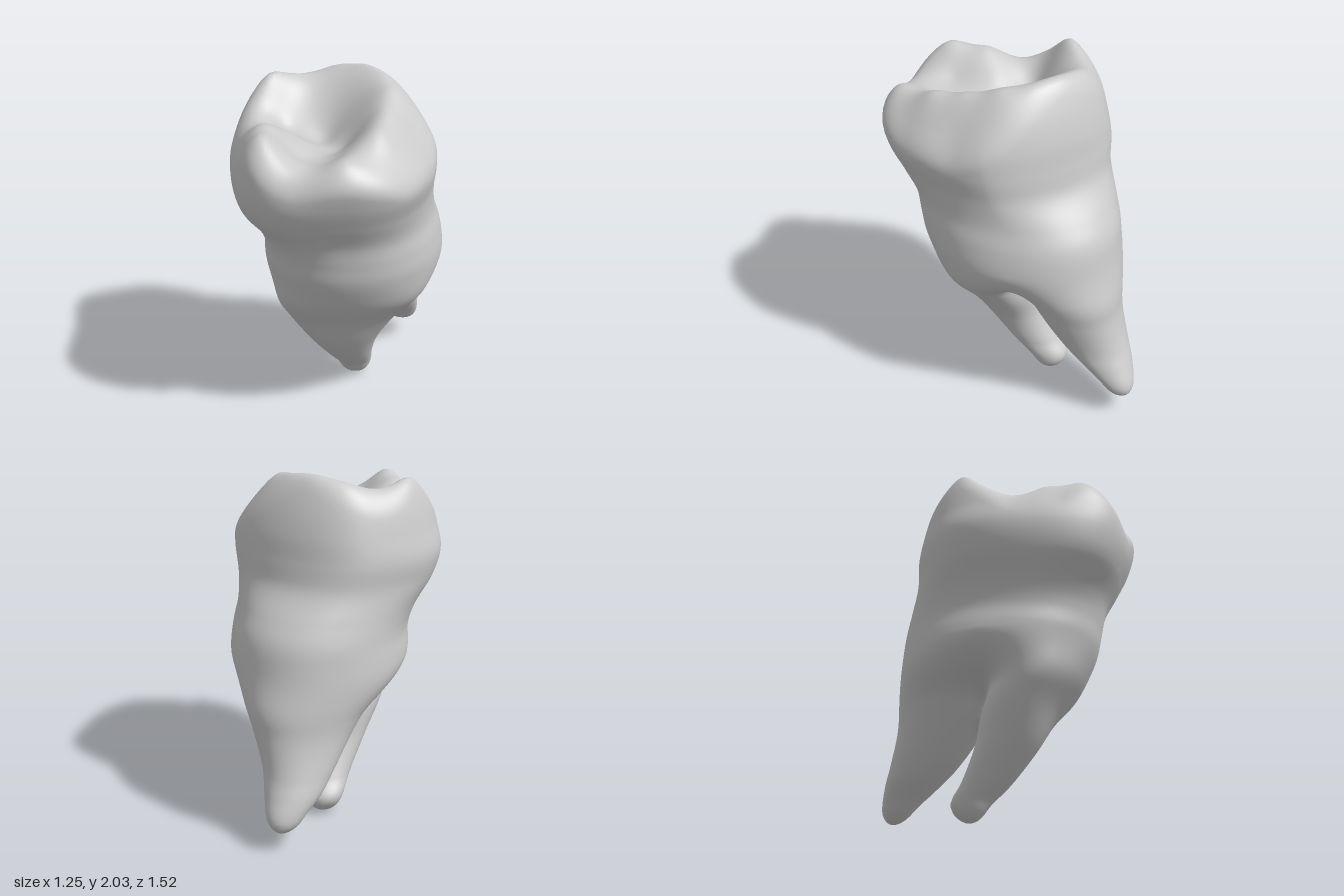
import * as THREE from 'three';

// Cross-section rows, bottom to top: y, xMin, xMax, zMin, zMax, shear of x along z
const BODY = [
  [0.62, -0.34, 0.59, -0.66, 0.32, -0.12],
  [0.85, -0.41, 0.62, -0.65, 0.46, -0.12],
  [1.00, -0.435, 0.62, -0.635, 0.525, -0.12],
  [1.12, -0.44, 0.60, -0.62, 0.55, -0.12],
  [1.25, -0.49, 0.56, -0.585, 0.58, -0.1],
  [1.40, -0.585, 0.54, -0.545, 0.66, -0.05],
  [1.55, -0.625, 0.545, -0.54, 0.73, 0],
  [1.70, -0.605, 0.535, -0.515, 0.765, 0],
  [1.85, -0.57, 0.49, -0.475, 0.74, 0],
  [2.05, -0.49, 0.39, -0.39, 0.66, 0],
];
const FRONT_ROOT = [
  [-0.01, 0.05, 0.19, -0.29, -0.17, 0],
  [0.10, 0.00, 0.215, -0.335, -0.105, 0],
  [0.20, -0.06, 0.21, -0.28, 0.00, 0],
  [0.40, -0.19, 0.24, -0.20, 0.16, 0],
  [0.60, -0.31, 0.35, -0.16, 0.28, 0],
  [0.80, -0.40, 0.48, -0.09, 0.43, 0],
  [1.05, -0.44, 0.56, -0.06, 0.535, 0],
];
const BACK_ROOT = [
  [0.10, 0.41, 0.54, -0.76, -0.64, 0],
  [0.20, 0.33, 0.555, -0.76, -0.56, 0],
  [0.30, 0.22, 0.545, -0.74, -0.44, 0],
  [0.40, 0.14, 0.535, -0.71, -0.33, 0],
  [0.60, 0.00, 0.565, -0.665, -0.18, 0],
  [0.80, -0.14, 0.61, -0.655, -0.07, 0],
  [1.05, -0.28, 0.61, -0.625, 0.02, 0],
];

// Chewing surface: x, z, height of cusps, rim, grooves and basin
const CUSPS = [
  [-0.46, 0.45, 1.88], [-0.45, 0.22, 1.86], [-0.48, -0.06, 1.81], [-0.4, -0.28, 2.01],
  [-0.18, -0.39, 1.94], [0.02, -0.4, 1.99], [0.23, -0.32, 2.03], [0.29, -0.15, 2.01],
  [0.29, 0.05, 1.98], [0.23, 0.25, 1.92], [0.17, 0.44, 1.88], [-0.03, 0.67, 1.80],
  [-0.27, 0.62, 1.73], [-0.3, -0.07, 1.73], [-0.08, 0, 1.68], [0, 0.24, 1.71],
  [-0.26, 0.4, 1.74], [-0.26, 0.14, 1.76], [-0.08, 0.48, 1.74],
  // outer shoulders
  [-0.62, 0.3, 1.72], [-0.62, 0, 1.7], [-0.54, -0.4, 1.82], [-0.2, -0.57, 1.82],
  [0.15, -0.55, 1.87], [0.41, -0.38, 1.87], [0.53, -0.05, 1.78], [0.5, 0.3, 1.65],
  [0.35, 0.62, 1.62], [0, 0.85, 1.65], [-0.35, 0.78, 1.62], [-0.6, 0.62, 1.74],
];

const clamp = THREE.MathUtils.clamp;
const smoothstep = THREE.MathUtils.smoothstep;
const smin = (a, b, k) => Math.min(a, b) - Math.max(k - Math.abs(a - b), 0) ** 2 / (4 * k);
const smax = (a, b, k) => -smin(-a, -b, k);

// Signed field of a stack of rounded sections, negative inside
function stack(rows) {
  const spline = new THREE.CubicInterpolant(
    rows.map((r) => r[0]), rows.flatMap((r) => r.slice(1)), 5, new Float64Array(5));
  const bottom = rows[0][0];
  const top = rows[rows.length - 1][0];
  return (x, y, z, squareness) => {
    const [x0, x1, z0, z1, shear] = spline.evaluate(clamp(y, bottom, top));
    const rz = (z1 - z0) / 2;
    const dz = z - (z0 + z1) / 2;
    const rx = Math.sqrt(((x1 - x0) / 2) ** 2 - (shear * rz) ** 2);
    const u = (x - (x0 + x1) / 2 - shear * dz) / rx;
    const v = dz / rz;
    // the crown is squarer at its front right corner
    const n = 2.2 + squareness * (0.3 * clamp(v, -1, 1) - 0.5 * clamp(u, -1, 1));
    const q = (Math.abs(u) ** n + Math.abs(v) ** n) ** (1 / n);
    return smax((q - 1) * Math.min(rx, rz), bottom - y, 0.09);
  };
}

// Smooth sheet through scattered heights (radial basis, Gauss-Jordan elimination)
function sheet(points, base) {
  const kernel = (x, z, p) => Math.sqrt((x - p[0]) ** 2 + (z - p[1]) ** 2 + 0.004);
  const m = points.map((p) => [...points.map((q) => kernel(p[0], p[1], q)), p[2] - base]);
  for (let c = 0; c < m.length; c++) {
    let pivot = c;
    for (let r = c; r < m.length; r++) if (Math.abs(m[r][c]) > Math.abs(m[pivot][c])) pivot = r;
    [m[c], m[pivot]] = [m[pivot], m[c]];
    m[c] = m[c].map((value) => value / m[c][c]);
    for (let r = 0; r < m.length; r++)
      if (r !== c) m[r] = m[r].map((value, i) => value - m[r][c] * m[c][i]);
  }
  const weights = m.map((row) => row[points.length]);
  return (x, z) => points.reduce((sum, p, i) => sum + weights[i] * kernel(x, z, p), base);
}

const body = stack(BODY);
const frontRoot = stack(FRONT_ROOT);
const backRoot = stack(BACK_ROOT);
const chewingHeight = sheet(CUSPS, 1.8);

// The two roots fade into the neck, which widens to the crown
function toothField(x, y, z) {
  const neck = smoothstep(y, 0.68, 0.98);
  let d = 0;
  if (neck > 0) d += neck * body(x, y, z, smoothstep(y, 1.15, 1.45));
  if (neck < 1) d += (1 - neck) * smin(frontRoot(x, y, z, 0), backRoot(x, y, z, 0), 0.1);
  if (y > 1.4) {
    // shallow groove down the front wall, between the front cusps
    d += 0.045 * Math.exp(-((x + 0.3) ** 2 + (y - 1.76) ** 2 + (z - 0.7) ** 2) / 0.03);
    d = smax(d, (y - chewingHeight(x, z)) * 0.8, 0.08);
  }
  return d;
}

// Turns the zero level of a field into a smooth mesh (one vertex per crossed cell)
function surfaceOf(field, min, size, step) {
  const n = size.map((s) => Math.ceil(s / step) + 1);
  const stride = [1, n[0], n[0] * n[1]];
  const values = new Float32Array(n[0] * n[1] * n[2]).fill(1);
  const at = (i, j, k) => i + j * stride[1] + k * stride[2];
  const eachPoint = (start, visit) => {
    for (let k = start; k < n[2] - 1; k++)
      for (let j = start; j < n[1] - 1; j++)
        for (let i = start; i < n[0] - 1; i++) visit(i, j, k, at(i, j, k));
  };
  eachPoint(0, (i, j, k, id) => {
    values[id] = field(min[0] + i * step, min[1] + j * step, min[2] + k * step);
  });
  const gradient = (p) => {
    const e = 0.006;
    return new THREE.Vector3(
      field(p.x + e, p.y, p.z) - field(p.x - e, p.y, p.z),
      field(p.x, p.y + e, p.z) - field(p.x, p.y - e, p.z),
      field(p.x, p.y, p.z + e) - field(p.x, p.y, p.z - e)).divideScalar(2 * e);
  };

  const positions = [];
  const normals = [];
  const vertexOf = new Map();
  eachPoint(0, (i, j, k, id) => {
    const p = new THREE.Vector3();
    let hits = 0;
    for (let c = 0; c < 8; c++) {
      const corner = [c & 1, (c >> 1) & 1, c >> 2];
      const a = values[id + at(...corner)];
      for (let axis = 0; axis < 3; axis++) {
        if (corner[axis]) continue;
        const b = values[id + at(...corner) + stride[axis]];
        if (a < 0 === b < 0) continue;
        const q = [...corner];
        q[axis] = a / (a - b);
        p.add(new THREE.Vector3(...q));
        hits++;
      }
    }
    if (!hits) return;
    p.divideScalar(hits).add(new THREE.Vector3(i, j, k)).multiplyScalar(step)
      .add(new THREE.Vector3(...min));
    // settle the vertex on the surface
    const g = gradient(p);
    const move = -field(p.x, p.y, p.z) / Math.max(g.lengthSq(), 0.1);
    p.add(g.multiplyScalar(move).clampLength(0, step / 2));
    vertexOf.set(id, positions.length / 3);
    positions.push(...p.toArray());
    normals.push(...gradient(p).normalize().toArray());
  });

  const index = [];
  eachPoint(1, (i, j, k, id) => {
    for (let axis = 0; axis < 3; axis++) {
      const inside = values[id] < 0;
      if (inside === values[id + stride[axis]] < 0) continue;
      const b = stride[(axis + 1) % 3];
      const c = stride[(axis + 2) % 3];
      const quad = [id - b - c, id - c, id, id - b].map((cell) => vertexOf.get(cell));
      if (!inside) quad.reverse();
      index.push(quad[0], quad[1], quad[2], quad[0], quad[2], quad[3]);
    }
  });

  const geometry = new THREE.BufferGeometry();
  geometry.setAttribute('position', new THREE.Float32BufferAttribute(positions, 3));
  geometry.setAttribute('normal', new THREE.Float32BufferAttribute(normals, 3));
  geometry.setIndex(index);
  return geometry;
}

export function createModel() {
  const group = new THREE.Group();
  group.name = 'molarTooth';
  // crown, neck and both roots form one continuous surface
  const tooth = new THREE.Mesh(
    surfaceOf(toothField, [-0.72, -0.08, -0.86], [1.44, 2.22, 1.74], 0.025),
    new THREE.MeshStandardMaterial({ color: 0xcccccc }));
  tooth.name = 'crownAndRoots';
  group.add(tooth);
  return group;
}
